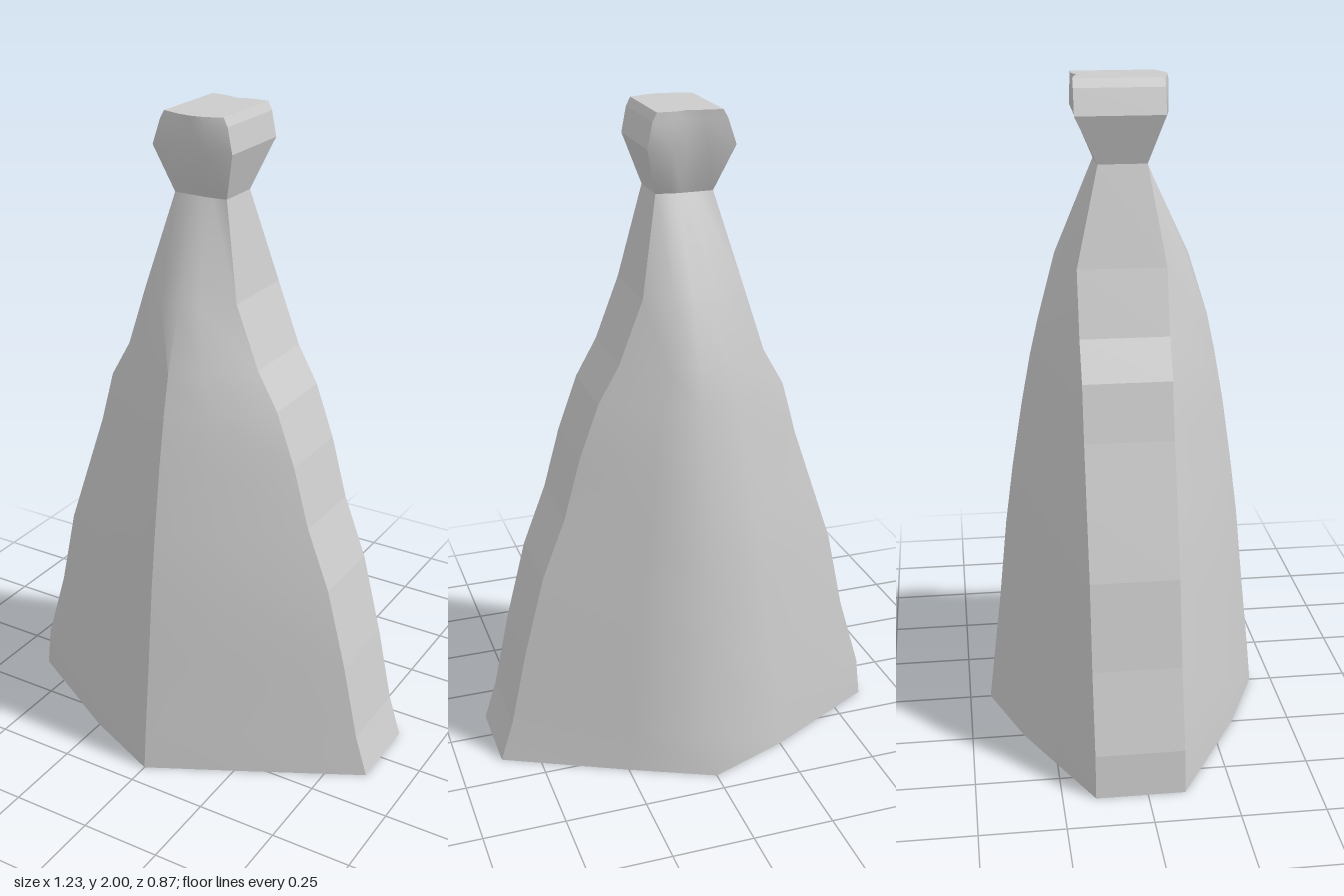
import * as THREE from 'three';
import { mergeGeometries, toCreasedNormals } from 'three/addons/utils/BufferGeometryUtils.js';

// One cross-section: y, right-hand and left-hand x, centre z front/back,
// side z front/back, and how far the sloping faces bulge on each side of the ridge.
function ring(y, xMin, xMax, zFront, zBack, sideFront, sideBack, bulgeMin, bulgeMax) {
  const mid = (x, zMid, zSide, bulge) =>
    [x * 0.41, y, zMid + (zSide - zMid) * 0.41 + bulge * Math.sign(zMid)];
  return [
    [xMax, y, sideFront - 0.004], mid(xMax, zFront, sideFront, bulgeMax),
    [0, y, zFront], mid(xMin, zFront, sideFront, bulgeMin), [xMin, y, sideFront],
    [xMin, y, sideBack], mid(xMin, zBack, sideBack, bulgeMin),
    [0, y, zBack], mid(xMax, zBack, sideBack, bulgeMax), [xMax, y, sideBack + 0.01],
  ];
}

function fromTriangles(points, crease) {
  const geo = new THREE.BufferGeometry();
  geo.setAttribute('position', new THREE.Float32BufferAttribute(points.flat(), 3));
  geo.computeVertexNormals();
  return crease ? toCreasedNormals(geo, crease) : geo;
}

// Lofted sheet between two columns of the rings
function sheet(rings, from, to, crease) {
  const tris = [];
  for (let i = 0; i < rings.length - 1; i++) {
    for (let j = from; j < to; j++) {
      const k = (j + 1) % 10;
      const [a, b, c, d] = [rings[i][j], rings[i + 1][j], rings[i + 1][k], rings[i][k]];
      tris.push(a, b, c, a, c, d);
    }
  }
  return fromTriangles(tris, crease);
}

function cap(points, top) {
  const centre = [0, points[0][1], -0.01];
  const tris = [];
  points.forEach((p, j) => {
    const q = points[(j + 1) % points.length];
    tris.push(centre, ...(top ? [q, p] : [p, q]));
  });
  return fromTriangles(tris);
}

// Smooth front and back, flat-banded sides
function loft(name, rings, caps, crease) {
  const geo = mergeGeometries([
    sheet(rings, 0, 4, crease), sheet(rings, 4, 5),
    sheet(rings, 5, 9, crease), sheet(rings, 9, 10), ...caps,
  ]);
  const mesh = new THREE.Mesh(geo, new THREE.MeshStandardMaterial({ color: 0xcccccc }));
  mesh.name = name;
  return mesh;
}

export function createModel() {
  const group = new THREE.Group();
  group.name = 'flaredGown';

  // Flared body: y, xMin, xMax, ridge front z, ridge back z
  const profile = [
    [0, -0.615, 0.615, 0.43, -0.435],
    [0.13, -0.6, 0.575, 0.418, -0.42],
    [0.365, -0.53, 0.525, 0.393, -0.393],
    [0.62, -0.475, 0.46, 0.368, -0.368],
    [0.81, -0.41, 0.387, 0.343, -0.343],
    [1.0, -0.345, 0.335, 0.315, -0.313],
    [1.165, -0.3, 0.275, 0.285, -0.283],
    [1.28, -0.235, 0.21, 0.26, -0.257],
    [1.47, -0.172, 0.137, 0.2, -0.197],
  ];
  const neck = ring(1.757, -0.095, 0.075, 0.065, -0.085, 0.062, -0.083, 0, 0);
  const body = profile.map((p) =>
    ring(...p, 0.11, -0.153, 0.02, 0.02 * (p[0] / 1.47)));
  body.push(neck);
  group.add(loft('gownBody', body, [cap(body[0], false)], 0.8));

  // Block-shaped top knob, slightly hollow at the back
  const head = [
    neck,
    ring(1.9, -0.138, 0.12, 0.132, -0.133, 0.11, -0.153, 0.004, 0.004),
    ring(1.975, -0.112, 0.105, 0.132, -0.133, 0.11, -0.153, 0.004, 0.004),
    ring(2.0, -0.098, 0.092, 0.132, -0.133, 0.11, -0.153, 0.004, 0.004),
  ];
  group.add(loft('topKnob', head, [cap(head[3], true)], 0.8));

  return group;
}
